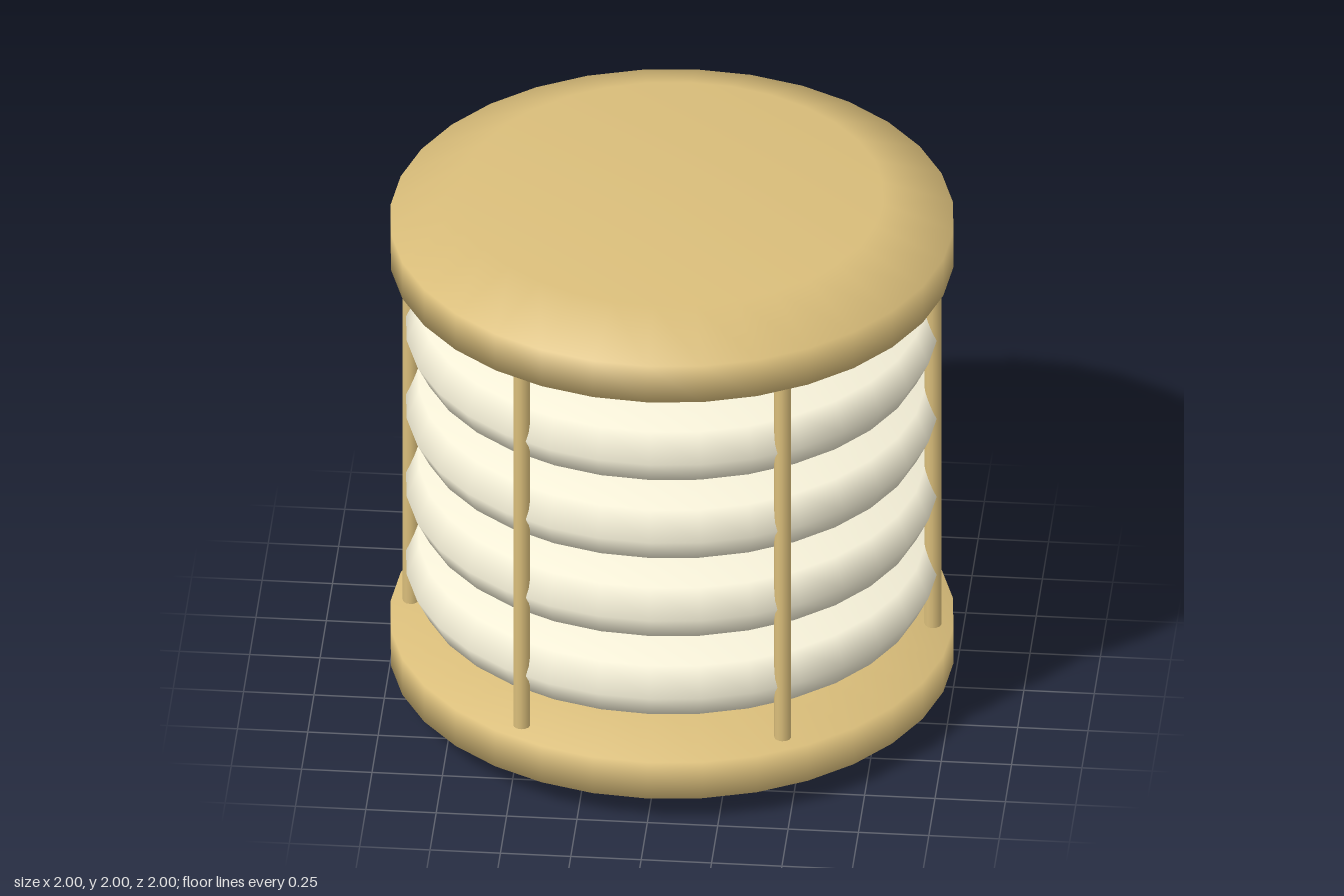
import * as THREE from 'three';

const wood = new THREE.MeshStandardMaterial({ color: 0xd9bd7a });
const paper = new THREE.MeshStandardMaterial({ color: 0xf5f0d8 });

// Turned part from [radius, height] pairs listed bottom to top
function turned(name, profile, material) {
  const points = profile.map(([r, y]) => new THREE.Vector2(r, y));
  const mesh = new THREE.Mesh(new THREE.LatheGeometry(points, 32), material);
  mesh.name = name;
  return mesh;
}

export function createModel() {
  const model = new THREE.Group();
  model.name = 'lantern';

  // Bevelled wooden discs, the top one mirrored from the base
  const disc = [[0, 0], [0.75, 0], [1, 0.1], [1, 0.25], [0.6, 0.3], [0, 0.3]];
  model.add(turned('base', disc, wood));
  model.add(turned('topCap', disc.map(([r, y]) => [r, 2 - y]).reverse(), wood));

  // Inner paper drum
  const core = new THREE.Mesh(new THREE.CylinderGeometry(0.55, 0.55, 1.5, 32, 1, true), paper);
  core.name = 'paperCore';
  core.position.y = 1;
  model.add(core);

  // Bulging paper ribs
  const ribProfile = [[0.5, -0.125], [0.9, -0.09], [0.945, 0], [0.9, 0.11], [0.5, 0.145]];
  for (let i = 0; i < 5; i++) {
    const rib = turned('paperRib', ribProfile, paper);
    rib.position.y = 0.48 + i * 0.325;
    model.add(rib);
  }

  // Six upright rods around the rim
  const rodGeometry = new THREE.CylinderGeometry(0.03, 0.03, 1.49, 12);
  for (let i = 0; i < 6; i++) {
    const angle = (i * Math.PI) / 3;
    const rod = new THREE.Mesh(rodGeometry, wood);
    rod.name = 'rod';
    rod.position.set(0.927 * Math.cos(angle), 1.005, 0.927 * Math.sin(angle));
    model.add(rod);
  }
  return model;
}
